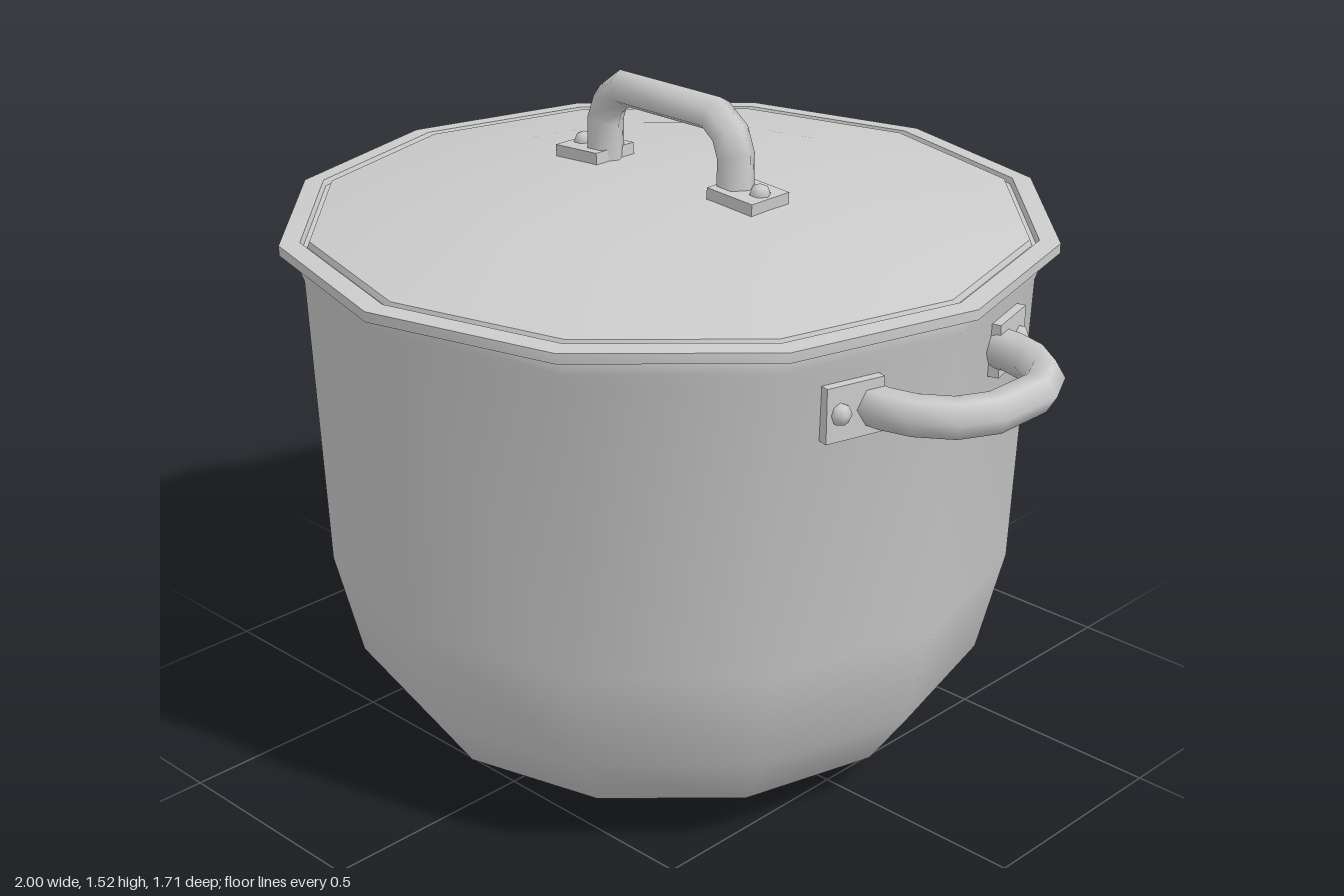
import * as THREE from 'three';
import { toCreasedNormals } from 'three/addons/utils/BufferGeometryUtils.js';

const steel = new THREE.MeshStandardMaterial({ color: 0xcccccc });
const SIDES = 12;
const FACET = Math.PI / SIDES; // half the angle of one facet

function addMesh(parent, name, geometry, x = 0, y = 0, z = 0) {
  const mesh = new THREE.Mesh(geometry, steel);
  mesh.name = name;
  mesh.position.set(x, y, z);
  parent.add(mesh);
  return mesh;
}

function addGroup(parent, name) {
  const group = new THREE.Group();
  group.name = name;
  parent.add(group);
  return group;
}

// Twelve-sided turned part, sharp only at strong profile corners
function turned(profile) {
  const points = profile.map(([r, y]) => new THREE.Vector2(r, y));
  return toCreasedNormals(new THREE.LatheGeometry(points, SIDES), 0.7);
}

// Hexagonal bar swept along half an arch in the XY plane, mirrored to -x
function archBar(half, radius) {
  const path = [...half, ...half.map(([x, y]) => [-x, y]).reverse()].map(([x, y]) => new THREE.Vector2(x, y));
  const n = 6, positions = [], index = [];
  path.forEach((p, i) => {
    const before = p.clone().sub(path[Math.max(i - 1, 0)]).normalize();
    const after = path[Math.min(i + 1, path.length - 1)].clone().sub(p).normalize();
    const t = before.clone().add(after).normalize();
    for (let j = 0; j < n; j++) {
      const a = (j / n) * Math.PI * 2, c = Math.cos(a) * radius;
      positions.push(p.x + t.y * c, p.y - t.x * c, Math.sin(a) * radius);
      if (i === path.length - 1) continue;
      const k = i * n + j, k2 = i * n + (j + 1) % n;
      index.push(k, k + n, k2, k2, k + n, k2 + n);
    }
  });
  const g = new THREE.BufferGeometry();
  g.setAttribute('position', new THREE.Float32BufferAttribute(positions, 3));
  g.setIndex(index);
  g.computeVertexNormals();
  return g;
}

export function createModel() {
  const pot = new THREE.Group();
  pot.name = 'cookingPot';

  // Pot: outer wall, rim and inner wall
  addMesh(pot, 'potBody', turned([
    [0, 0], [0.2, 0.008], [0.43, 0.04], [0.62, 0.11], [0.72, 0.25], [0.778, 0.49],
    [0.803, 1.15], [0.812, 1.175], [0.812, 1.197], [0.77, 1.197],
    [0.74, 0.5], [0.68, 0.27], [0.58, 0.15], [0.4, 0.08], [0, 0.05],
  ]));

  // Lid: underside, flange, groove and shallow dome
  const lid = addGroup(pot, 'lid');
  addMesh(lid, 'lidShell', turned([
    [0, 1.28], [0.47, 1.26], [0.76, 1.2], [0.81, 1.2], [0.853, 1.213], [0.853, 1.235],
    [0.808, 1.238], [0.803, 1.225], [0.793, 1.225], [0.788, 1.238],
    [0.47, 1.296], [0.2, 1.314], [0, 1.32],
  ]));

  const rivet = new THREE.SphereGeometry(0.024, 6, 4);

  // Lid handle with its two riveted feet
  const lidHandle = addGroup(lid, 'lidHandle');
  addMesh(lidHandle, 'lidHandleBar',
    archBar([[0.197, 1.3], [0.197, 1.405], [0.18, 1.45], [0.137, 1.483]], 0.042));
  for (const s of [1, -1]) {
    const foot = addMesh(lidHandle, 'lidHandleFoot', new THREE.BoxGeometry(0.13, 0.04, 0.116), s * 0.232, 1.317, 0);
    foot.rotation.z = -s * 0.06;
    addMesh(lidHandle, 'lidHandleRivet', rivet, s * 0.267, 1.335, 0);
  }

  // Side handles: horizontal loops on plates that lie flat on the facets
  const loop = archBar([[0.205, 0.73], [0.205, 0.79], [0.188, 0.853], [0.142, 0.918], [0.068, 0.956]], 0.043);
  loop.applyMatrix4(new THREE.Matrix4().makeBasis(
    new THREE.Vector3(0, 0, 1), new THREE.Vector3(1, 0, 0), new THREE.Vector3(0, 1, 0)));
  const wall = 0.8 * Math.cos(FACET);
  for (const [name, turn] of [['leftHandle', 0], ['rightHandle', Math.PI]]) {
    const handle = addGroup(pot, name);
    handle.rotation.y = turn;
    addMesh(handle, 'handleBar', loop, 0, 1.067, 0);
    for (const s of [1, -1]) {
      const mount = addGroup(handle, 'handleMount');
      mount.rotation.y = -s * FACET;
      addMesh(mount, 'handlePlate', new THREE.BoxGeometry(0.04, 0.118, 0.135), wall + 0.002, 1.067, s * 0.047);
      addMesh(mount, 'handleRivet', rivet, wall + 0.022, 1.067, s * 0.083);
    }
  }
  return pot;
}
